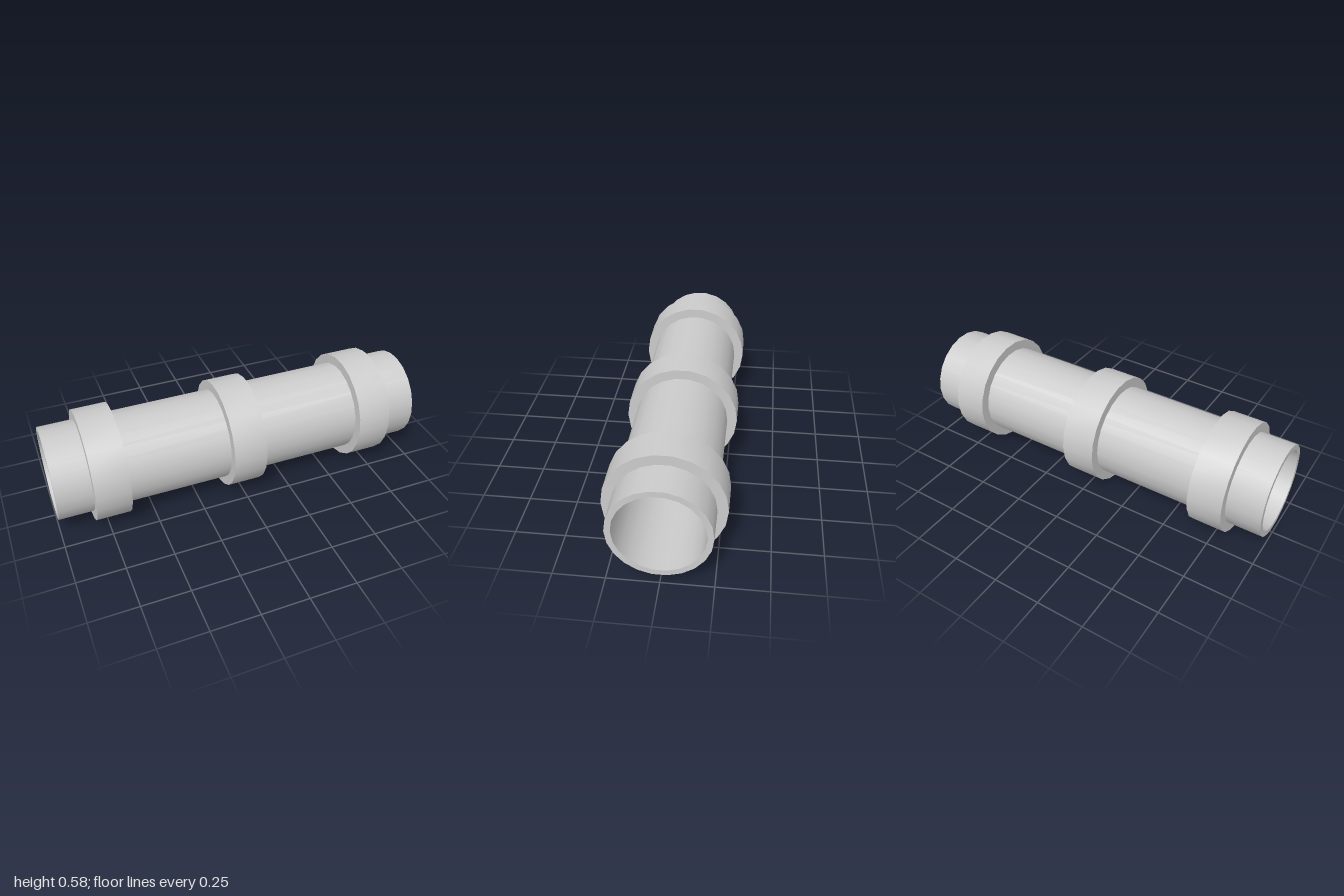
import * as THREE from 'three';
import { toCreasedNormals } from 'three/addons/utils/BufferGeometryUtils.js';

const SIDES = 22;
const BAND_RADIUS = 0.293;
const PIPE_RADIUS = 0.242;
const BORE_RADIUS = 0.213;
const AXIS_Y = BAND_RADIUS * Math.cos(Math.PI / SIDES); // lowest flat rests on the ground

// Turns a [radius, position] profile around the x axis, smooth sides with sharp rims
function turned(name, profile, material) {
  const points = profile.map(([r, p]) => new THREE.Vector2(r, p));
  const geometry = toCreasedNormals(new THREE.LatheGeometry(points, SIDES), 0.6);
  geometry.rotateZ(-Math.PI / 2);
  const mesh = new THREE.Mesh(geometry, material);
  mesh.name = name;
  return mesh;
}

export function createModel() {
  const model = new THREE.Group();
  model.name = 'bandedPipe';
  const material = new THREE.MeshStandardMaterial({ color: 0xcccccc });

  // Hollow pipe: end rims, outer wall and bore
  const pipe = turned('pipe', [
    [BORE_RADIUS, -1], [PIPE_RADIUS, -1], [PIPE_RADIUS, 1], [BORE_RADIUS, 1], [BORE_RADIUS, -1],
  ], material);
  pipe.position.y = AXIS_Y;
  model.add(pipe);

  // Three raised bands seated on the pipe
  const half = 0.09;
  [['rightBand', -0.728], ['middleBand', 0], ['leftBand', 0.728]].forEach(([name, x]) => {
    const band = turned(name, [
      [PIPE_RADIUS, -half], [BAND_RADIUS, -half], [BAND_RADIUS, half], [PIPE_RADIUS, half],
    ], material);
    band.position.set(x, AXIS_Y, 0);
    model.add(band);
  });

  return model;
}
